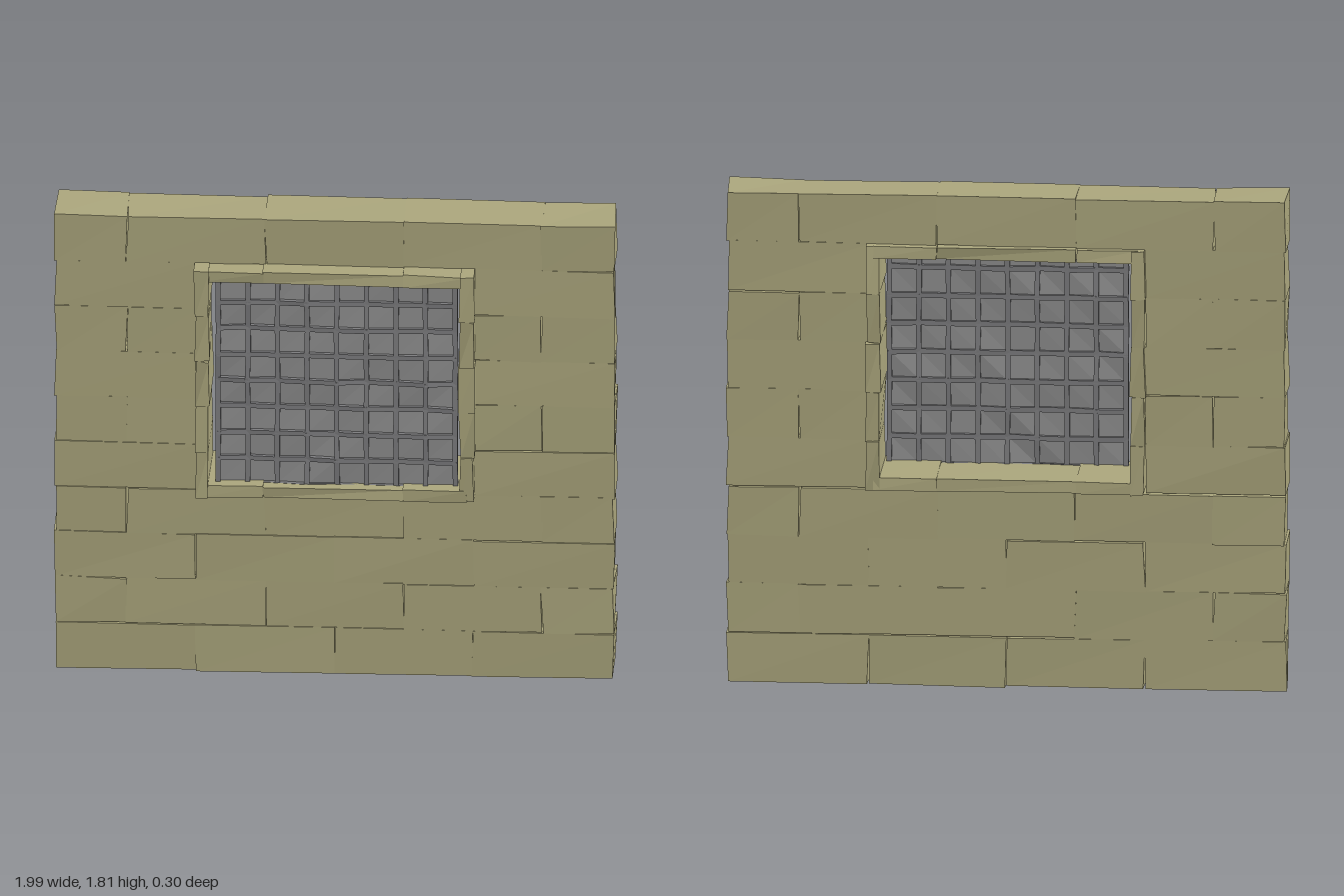
import * as THREE from 'three';

const stone = new THREE.MeshStandardMaterial({ color: 0xaaa57c, flatShading: true });
stone.name = 'sandstone';
const iron = new THREE.MeshStandardMaterial({ color: 0x7c7c7e, flatShading: true });
iron.name = 'grille bars';
const pane = new THREE.MeshStandardMaterial({ color: 0x8e8e8e, flatShading: true, side: THREE.DoubleSide });
pane.name = 'grey pane';

let seed = 7;
const rand = () => {
  seed = (seed * 16807) % 2147483647;
  return (seed / 2147483647) * 2 - 1;
};

// A block between two corners, each of its eight corners nudged a little
function block(name, x0, x1, y0, y1, z0, z1, amp) {
  const geo = new THREE.BoxGeometry(1, 1, 1);
  const corners = [];
  for (let i = 0; i < 8; i++) {
    corners.push([
      (i & 1 ? x1 : x0) + rand() * amp[0],
      (i & 2 ? y1 : y0) + rand() * amp[1],
      (i & 4 ? z1 : z0) + rand() * amp[2],
    ]);
  }
  const p = geo.attributes.position;
  for (let i = 0; i < p.count; i++) {
    const k = (p.getX(i) > 0 ? 1 : 0) + (p.getY(i) > 0 ? 2 : 0) + (p.getZ(i) > 0 ? 4 : 0);
    p.setXYZ(i, ...corners[k]);
  }
  geo.computeVertexNormals();
  const mesh = new THREE.Mesh(geo, stone);
  mesh.name = name;
  return mesh;
}

function buildWall() {
  const wall = new THREE.Group();
  wall.name = 'brickWall';
  const E = 0.99, W = 0.49;
  const halves = [-E, -W, 0, W, E];
  const offset = [-E, -0.735, -0.245, 0.245, 0.735, E];
  const ys = [0.012, 0.195, 0.375, 0.555, 0.735, 0.915, 1.097, 1.275, 1.455, 1.637, 1.818];
  for (let r = 0; r < 10; r++) {
    const joints = r % 2 ? offset : halves;
    const windowRow = r >= 4 && r <= 8;
    // Window rows stop at the opening on both sides
    const spans = windowRow
      ? (r % 2 ? [[-E, -0.735], [-0.735, -W], [W, 0.735], [0.735, E]] : [[-E, -W], [W, E]])
      : joints.slice(1).map((x, i) => [joints[i], x]);
    for (const [a, b] of spans) {
      wall.add(block('brick', a, b, ys[r], ys[r + 1], -0.11, 0.074, [0.006, 0.004, 0.004]));
    }
  }
  return wall;
}

function buildFrame() {
  const frame = new THREE.Group();
  frame.name = 'windowFrame';
  // Jamb stones, one for each brick course
  for (let i = 0; i < 5; i++) {
    const y0 = 0.737 + i * 0.1805;
    for (const [a, b] of [[-0.492, -0.442], [0.446, 0.496]]) {
      frame.add(block('jambStone', a, b, y0, y0 + 0.18, -0.141, 0.141, [0.005, 0.003, 0.01]));
    }
  }
  // Lintel and sill
  const xs = [-0.47, -0.25, 0.245, 0.47];
  for (let i = 0; i < 3; i++) {
    frame.add(block('lintelStone', xs[i], xs[i + 1], 1.593, 1.637, -0.139, 0.137, [0.003, 0.003, 0.006]));
    frame.add(block('sillStone', xs[i], xs[i + 1], 0.737, 0.782, -0.139, 0.137, [0.003, 0.003, 0.006]));
  }
  return frame;
}

function buildGrille() {
  const grille = new THREE.Group();
  grille.name = 'windowGrille';
  const N = 8, Z = 0.09;
  // Slightly uneven grid of crossings shared by pane and bars
  const nodes = [];
  for (let j = 0; j <= N; j++) {
    for (let i = 0; i <= N; i++) {
      nodes.push(new THREE.Vector3(
        -0.411 + i * 0.105 + rand() * 0.0015,
        1.604 - j * 0.104 + rand() * 0.0015,
        Z + rand() * 0.006));
    }
  }
  const geo = new THREE.PlaneGeometry(1, 1, N, N);
  nodes.forEach((v, i) => geo.attributes.position.setXYZ(i, v.x, v.y, v.z));
  geo.computeVertexNormals();
  const sheet = new THREE.Mesh(geo, pane);
  sheet.name = 'pane';
  grille.add(sheet);

  // Bars run from crossing to crossing
  const bar = (name, a, b) => {
    const d = b.clone().sub(a);
    const mesh = new THREE.Mesh(new THREE.BoxGeometry(0.018, d.length() + 0.008, 0.024), iron);
    mesh.name = name;
    mesh.position.copy(a).add(b).multiplyScalar(0.5);
    mesh.quaternion.setFromUnitVectors(new THREE.Vector3(0, 1, 0), d.normalize());
    grille.add(mesh);
  };
  for (let j = 0; j <= N; j++) {
    for (let i = 0; i <= N; i++) {
      const k = j * (N + 1) + i;
      if (i < N) bar('horizontalBar', nodes[k], nodes[k + 1]);
      if (j < N) bar('verticalBar', nodes[k + N + 1], nodes[k]);
    }
  }
  return grille;
}

export function createModel() {
  seed = 7;
  const model = new THREE.Group();
  model.name = 'barredWindowWall';
  model.add(buildWall(), buildFrame(), buildGrille());
  return model;
}
